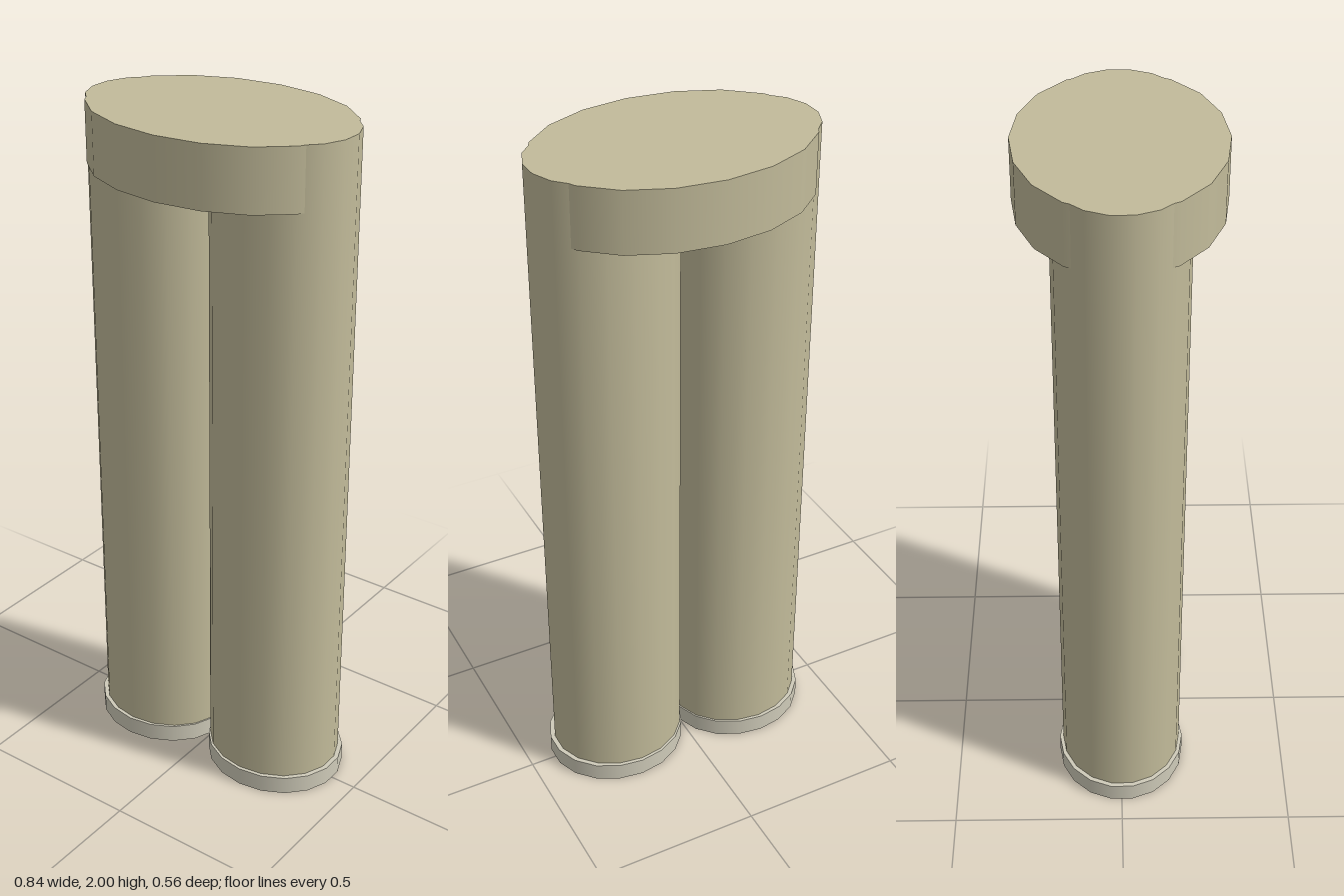
import * as THREE from 'three';

const SIDES = 18;

// Upright oval prism from y0 to y1 with radii rx and rz
function ovalPost(name, material, rx, rz, y0, y1, x = 0) {
  const geometry = new THREE.CylinderGeometry(1, 1, 1, SIDES);
  geometry.scale(rx, y1 - y0, rz);
  const mesh = new THREE.Mesh(geometry, material);
  mesh.name = name;
  mesh.position.set(x, (y0 + y1) / 2, 0);
  return mesh;
}

export function createModel() {
  const model = new THREE.Group();
  model.name = 'trousers';
  const cloth = new THREE.MeshStandardMaterial({ color: 0xc2bb9a });
  const hem = new THREE.MeshStandardMaterial({ color: 0xcfcbb9 });

  // Two oval legs, each ending in a slightly wider cuff
  for (const [side, s] of [['left', 1], ['right', -1]]) {
    model.add(ovalPost(side + 'Leg', cloth, 0.204, 0.18, 0.03, 2, s * 0.206));
    model.add(ovalPost(side + 'Cuff', hem, 0.213, 0.19, 0, 0.055, s * 0.211));
  }

  // Wide oval waist joining the legs at the top
  model.add(ovalPost('waist', cloth, 0.395, 0.282, 1.825, 2));
  return model;
}
